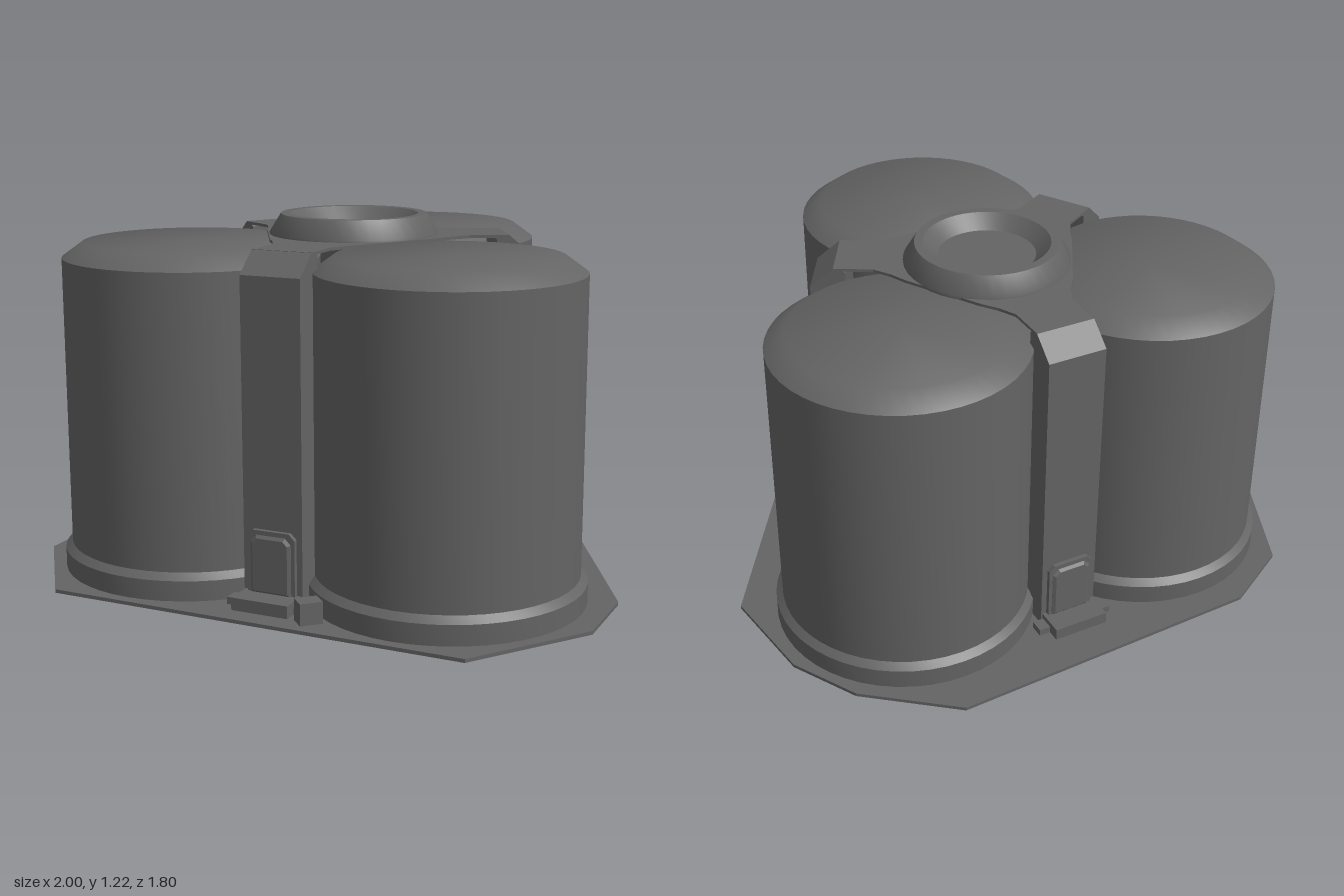
import * as THREE from 'three';
import { toCreasedNormals } from 'three/addons/utils/BufferGeometryUtils.js';

const material = new THREE.MeshStandardMaterial({ color: 0x646464 });
const HUB_Z = 0.115;
const STRAP_Z = 0.125;

function add(parent, name, geometry, x = 0, y = 0, z = 0) {
  const mesh = new THREE.Mesh(geometry, material);
  mesh.name = name;
  mesh.position.set(x, y, z);
  parent.add(mesh);
  return mesh;
}

const points = (list) => list.map(([x, y]) => new THREE.Vector2(x, y));

function lathe(profile, segments) {
  return toCreasedNormals(new THREE.LatheGeometry(points(profile), segments), 0.75);
}

function extrude(outline, depth, options = {}) {
  return new THREE.ExtrudeGeometry(new THREE.Shape(points(outline)), { depth, bevelEnabled: false, ...options });
}

// Flat slab lying in the xz plane; outline given as [x, z]
function slab(outline, thickness) {
  return extrude(outline.map(([x, z]) => [x, -z]), thickness).rotateX(-Math.PI / 2);
}

// Upright post with a chamfered shoulder, latch and foot, reaching towards local +z
function createStrap() {
  const strap = new THREE.Group();
  strap.name = 'strap';
  const profile = [[0.48, 1.13], [0.5, 1.145], [0.522, 1.145], [0.603, 1.075], [0.603, 0.01], [0.48, 0.01]];
  add(strap, 'strapPost', extrude(profile.reverse(), 0.21).rotateY(-Math.PI / 2), 0.105);

  // Latch: raised bevelled panel with clipped upper corners
  const latch = (w, h, c) => [[-w, 0], [w, 0], [w, h - c], [w - c, h], [c - w, h], [-w, h - c]];
  add(strap, 'latchFrame', extrude(latch(0.085, 0.21, 0.02), 0.02), 0, 0.05, 0.598);
  add(strap, 'latchPanel', extrude(latch(0.062, 0.175, 0.015), 0.006, {
    bevelEnabled: true, bevelSize: 0.01, bevelThickness: 0.008, bevelSegments: 1,
  }), 0, 0.06, 0.613);

  // Stepped foot
  add(strap, 'footBar', new THREE.BoxGeometry(0.28, 0.024, 0.05), 0, 0.024, 0.633);
  add(strap, 'footBlock', new THREE.BoxGeometry(0.2, 0.042, 0.1), 0, 0.033, 0.652);
  return strap;
}

export function createModel() {
  const model = new THREE.Group();
  model.name = 'tripleTank';

  // Ground plate
  const half = [[0.13, -0.9], [0.475, -0.76], [1, 0.24], [1, 0.525], [0.725, 0.9]];
  const mirrored = half.map(([x, z]) => [-x, z]).reverse();
  add(model, 'basePlate', slab([...half, ...mirrored].reverse(), 0.012));

  // Three tanks, each with a wider skirt and a chamfered top
  const tankGeometry = lathe([
    [0.457, 0.005], [0.457, 0.08], [0.434, 0.102], [0.434, 1.08], [0.365, 1.13], [0, 1.13],
  ], 48);
  for (const [x, z] of [[0.005, -0.408], [0.47, 0.407], [-0.466, 0.407]]) {
    add(model, 'tank', tankGeometry, x, 0, z);
  }

  // Three-armed plate across the top
  const outline = [];
  const oneArm = [[-0.175, 0.27], [-0.135, 0.325], [-0.105, 0.385], [-0.105, 0.522],
    [0.105, 0.522], [0.105, 0.385], [0.135, 0.325], [0.175, 0.27]];
  for (let i = 0; i < 3; i++) {
    const a = i * Math.PI * 2 / 3;
    for (const [x, z] of oneArm) {
      outline.push([x * Math.cos(a) + z * Math.sin(a), z * Math.cos(a) - x * Math.sin(a)]);
    }
  }
  add(model, 'topPlate', slab(outline, 0.01), 0, 1.136, STRAP_Z);

  // Hub ring with a sunken centre
  add(model, 'hub', lathe([
    [0, 1.138], [0.287, 1.138], [0.287, 1.152], [0.248, 1.215], [0.218, 1.215],
    [0.168, 1.168], [0, 1.168],
  ], 40), 0, 0, HUB_Z);

  // Straps in the gaps between tanks
  for (let i = 0; i < 3; i++) {
    const strap = createStrap();
    strap.position.z = STRAP_Z;
    strap.rotation.y = i * Math.PI * 2 / 3;
    model.add(strap);
  }

  // Small block beside the front foot
  add(model, 'sideBlock', new THREE.BoxGeometry(0.075, 0.075, 0.06), 0.172, 0.047, 0.82).rotation.y = Math.PI / 4;

  return model;
}
